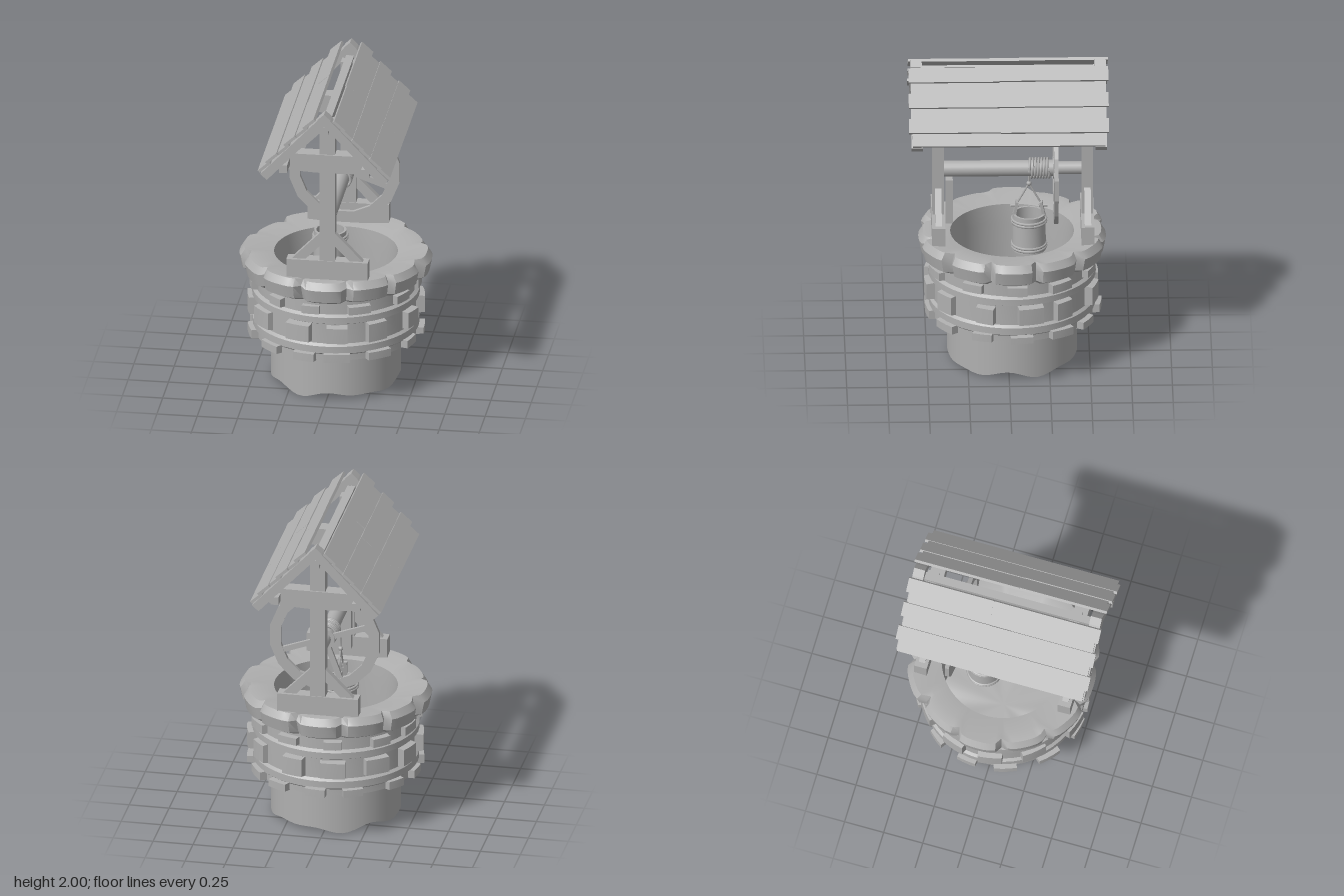
import * as THREE from 'three';
import { toCreasedNormals } from 'three/addons/utils/BufferGeometryUtils.js';

const CX = 0.015;   // x of the timber frame
const WZ = -0.025;  // z of the masonry centre

export function createModel() {
  const model = new THREE.Group();
  model.name = 'well';
  const grey = new THREE.MeshStandardMaterial({ color: 0xb0b0b0, side: THREE.DoubleSide });
  grey.name = 'plain grey';

  let seed = 7;
  const rnd = () => ((seed = (seed * 16807) % 2147483647) / 2147483647);
  const jit = (a) => (rnd() - 0.5) * 2 * a;

  const group = (name, x = 0, y = 0, z = 0, parent = model) => {
    const g = new THREE.Group();
    g.name = name;
    g.position.set(x, y, z);
    parent.add(g);
    return g;
  };
  const add = (name, geo, x = 0, y = 0, z = 0, parent = model) => {
    const m = new THREE.Mesh(geo, grey);
    m.name = name;
    m.position.set(x, y, z);
    parent.add(m);
    return m;
  };
  const box = (name, w, h, d, x, y, z, parent) => add(name, new THREE.BoxGeometry(w, h, d), x, y, z, parent);
  const lathe = (pts, n = 48) => toCreasedNormals(
    new THREE.LatheGeometry(pts.map((p) => new THREE.Vector2(p[0], p[1])), n), 0.6);
  const rod = (name, a, b, r, parent) => add(name,
    new THREE.TubeGeometry(new THREE.LineCurve3(new THREE.Vector3(...a), new THREE.Vector3(...b)), 1, r, 6), 0, 0, 0, parent);

  // ---- Masonry ----
  const masonry = group('masonry', 0, 0, WZ);

  // shaft of the well with a ragged foot
  const ragged = (a) => 0.024 + 0.014 * Math.sin(5 * a + 0.6) + 0.01 * Math.sin(8 * a + 2);
  const foot = new THREE.CylinderGeometry(0.4, 0.4, 0.8, 64, 1, true);
  const fp = foot.attributes.position;
  for (let i = 0; i < fp.count; i++) {
    const a = Math.atan2(fp.getX(i), fp.getZ(i));
    fp.setY(i, fp.getY(i) > 0 ? 0.8 : ragged(a));
  }
  add('wellShaft', foot, 0, 0, 0, masonry);
  const floor = new THREE.CircleGeometry(0.4, 64).rotateX(Math.PI / 2);
  const cp = floor.attributes.position;
  for (let i = 0; i < cp.count; i++) {
    const r = Math.hypot(cp.getX(i), cp.getZ(i));
    cp.setY(i, r < 0.01 ? 0.03 : ragged(Math.atan2(cp.getX(i), cp.getZ(i))));
  }
  floor.computeVertexNormals();
  add('wellFloor', floor, 0, 0, 0, masonry);

  // outer wall with two raised bands
  add('outerWall', lathe([
    [0.45, 0.75], [0.45, 0.305], [0.5, 0.305], [0.5, 0.345], [0.512, 0.355], [0.512, 0.4], [0.495, 0.415],
    [0.495, 0.545], [0.515, 0.555], [0.515, 0.595], [0.495, 0.61], [0.495, 0.72],
  ]), 0, 0, 0, masonry);

  // curved stone block narrowing toward its outer face
  const stone = (name, a, w, r0, r1, y0, y1) => {
    const g = new THREE.BoxGeometry(1, 1, 1, 3, 1, 1);
    const p = g.attributes.position;
    const skew = jit(0.012);
    for (let i = 0; i < p.count; i++) {
      const out = p.getZ(i) > 0;
      const k = out ? 0.86 : 1;
      const t = a + p.getX(i) * w * k;
      const r = out ? r1 + skew * p.getX(i) : r0;
      p.setXYZ(i, Math.sin(t) * r, (y0 + y1) / 2 + p.getY(i) * (y1 - y0) * k, Math.cos(t) * r);
    }
    add(name, toCreasedNormals(g, 0.4), 0, 0, 0, masonry);
  };
  const row = (name, n, start, w, r1, y0, y1) => {
    for (let i = 0; i < n; i++) {
      stone(name, start + (i / n) * Math.PI * 2 + jit(0.05), w * (1 + jit(0.2)),
        0.47, r1 + jit(0.008), y0 + jit(0.006), y1 + jit(0.006));
    }
  };
  row('bottomStone', 13, 0.2, 0.3, 0.54, 0.302, 0.358);
  row('middleStone', 12, 0.17, 0.29, 0.54, 0.42, 0.545);
  row('upperStone', 11, 0.45, 0.28, 0.528, 0.615, 0.675);

  // scalloped coping ring around the mouth
  const lobes = 12;
  const lipPts = [[0.45, 0.7], [0.53, 0.695], [0.578, 0.72], [0.594, 0.8], [0.565, 0.845], [0.48, 0.843], [0.38, 0.825], [0.375, 0.7], [0.385, 0.3], [0.385, 0.045]];
  const lip = new THREE.LatheGeometry(lipPts.map((p) => new THREE.Vector2(...p)), 96);
  const lp = lip.attributes.position;
  for (let i = 0; i < lp.count; i++) {
    const x = lp.getX(i), z = lp.getZ(i), r = Math.hypot(x, z);
    if (r < 0.5) continue;
    const u = Math.atan2(x, z) / (Math.PI * 2) * lobes + 0.5;
    const f = Math.abs(u - Math.floor(u) - 0.5) * 2;
    const even = Math.abs(Math.floor(u)) % 2;
    const k = (even ? 1 : 0.97) * (1 - 0.075 * Math.pow(f, 6));
    lp.setXYZ(i, x * k, lp.getY(i) + (even ? 0.006 : -0.006), z * k);
  }
  add('copingRing', toCreasedNormals(lip, 0.6), 0, 0, 0, masonry);

  // ---- Timber frame, one trestle at each end ----
  for (const z of [0.43, -0.487]) {
    const t = group(z > 0 ? 'frontTrestle' : 'backTrestle', CX, 0, z);
    box('post', 0.095, 1.06, 0.07, 0, 1.37, 0, t);
    box('baseBeam', 0.505, 0.13, 0.08, 0, 0.9, 0, t);
    for (const s of [1, -1]) {
      const b = box('brace', 0.3, 0.06, 0.04, s * 0.11, 1.035, 0, t);
      b.rotation.z = -s * 0.8;
    }
    // crossbeam with a bowed underside
    const sh = new THREE.Shape();
    sh.moveTo(-0.302, 1.675);
    sh.lineTo(-0.302, 1.575);
    sh.quadraticCurveTo(0, 1.535, 0.302, 1.575);
    sh.lineTo(0.302, 1.675);
    add('crossBeam', new THREE.ExtrudeGeometry(sh, { depth: 0.09, bevelEnabled: false, curveSegments: 8 }), 0, 0, -0.045, t);
  }
  box('innerBoard', 0.07, 0.29, 0.045, CX, 1.045, 0.362);

  // ---- Roof ----
  const roof = group('roof', CX, 2, 0);
  box('ridgePurlin', 0.05, 0.05, 1.2, 0, -0.11, 0, roof);
  for (const s of [1, -1]) {
    box('sidePurlin', 0.05, 0.05, 1.2, s * 0.255, -0.38, 0, roof);
    // slope frame: x runs down the slope, y points outward
    const slope = group(s > 0 ? 'leftSlope' : 'rightSlope', 0, 0, 0, roof);
    slope.rotation.set(0, s > 0 ? 0 : Math.PI, -0.816);
    for (const z of [0.565, -0.565]) box('rafter', 0.577, 0.055, 0.07, 0.2885, -0.0275, z, slope);
    for (let i = 0; i < 6; i++) {
      const long = i % 2 === 0;
      const half = long ? 0.615 : 0.593;
      const split = (long ? 0.05 : -0.05) + jit(0.02);
      for (const e of [1, -1]) {
        const len = half - e * split - 0.001;
        const plank = box('roofPlank', 0.094, 0.018, len, 0.112 + i * 0.083 + jit(0.003),
          (long ? 0.024 : 0.011) + jit(0.002), split + e * len / 2, slope);
        plank.rotation.z = 0.08;
      }
    }
  }

  // ---- Windlass ----
  const windlass = group('windlass', CX, 1.255, 0);
  add('drum', new THREE.CylinderGeometry(0.05, 0.05, 0.67, 20).rotateX(Math.PI / 2), 0, 0, 0.06, windlass);
  add('axle', new THREE.CylinderGeometry(0.04, 0.04, 0.2, 16).rotateX(Math.PI / 2), 0, 0, -0.36, windlass);
  const coil = [];
  for (let i = 0; i <= 112; i++) {
    const a = (i / 16) * Math.PI * 2;
    coil.push(new THREE.Vector3(Math.cos(a) * 0.06, Math.sin(a) * 0.06, -0.13 - (i / 112) * 0.125));
  }
  add('ropeCoil', new THREE.TubeGeometry(new THREE.CatmullRomCurve3(coil), 168, 0.008, 6), 0, 0, 0, windlass);

  // spoked wheel
  const wheel = group('wheel', 0, 0, -0.292, windlass);
  const ringPts = (r) => Array.from({ length: 16 }, (_, i) => {
    const a = ((i + 0.5) / 16) * Math.PI * 2;
    return new THREE.Vector2(Math.cos(a) * r, Math.sin(a) * r);
  });
  const rim = new THREE.Shape(ringPts(0.348));
  rim.holes.push(new THREE.Path(ringPts(0.28)));
  add('rim', new THREE.ExtrudeGeometry(rim, { depth: 0.026, bevelEnabled: false }), 0, 0, -0.013, wheel);
  for (let i = 0; i < 4; i++) {
    const a = (70 + i * 90) * Math.PI / 180;
    box('spoke', 0.26, 0.035, 0.02, Math.cos(a) * 0.165, Math.sin(a) * 0.165, 0, wheel).rotation.z = a;
  }
  add('hub', new THREE.CylinderGeometry(0.065, 0.065, 0.03, 14).rotateX(Math.PI / 2), 0, 0, 0, wheel);

  // ---- Bucket and rope ----
  const bucket = group('bucket', -0.05, 0, -0.13);
  add('pail', lathe([[0, 0.68], [0.105, 0.68], [0.1, 0.92], [0.086, 0.92], [0.088, 0.72], [0, 0.72]], 20), 0, 0, 0, bucket);
  for (const y of [0.7, 0.718, 0.868, 0.885]) {
    add('ropeHoop', new THREE.TorusGeometry(0.104, 0.009, 6, 24).rotateX(Math.PI / 2), 0, y, 0, bucket);
  }
  for (const s of [1, -1]) {
    box('ear', 0.05, 0.1, 0.018, 0, 0.95, s * 0.082, bucket).rotation.x = -s * 0.2;
    rod('peg', [0, 0.972, s * 0.06], [0, 0.972, s * 0.115], 0.01, bucket);
    rod('handleRope', [0, 0.975, s * 0.08], [0, 1.12, 0], 0.006, bucket);
  }
  add('knot', new THREE.SphereGeometry(0.016, 8, 6), 0, 1.12, 0, bucket);
  rod('hangingRope', [0, 1.12, 0], [0.005, 1.26, 0], 0.007, bucket);

  return model;
}
